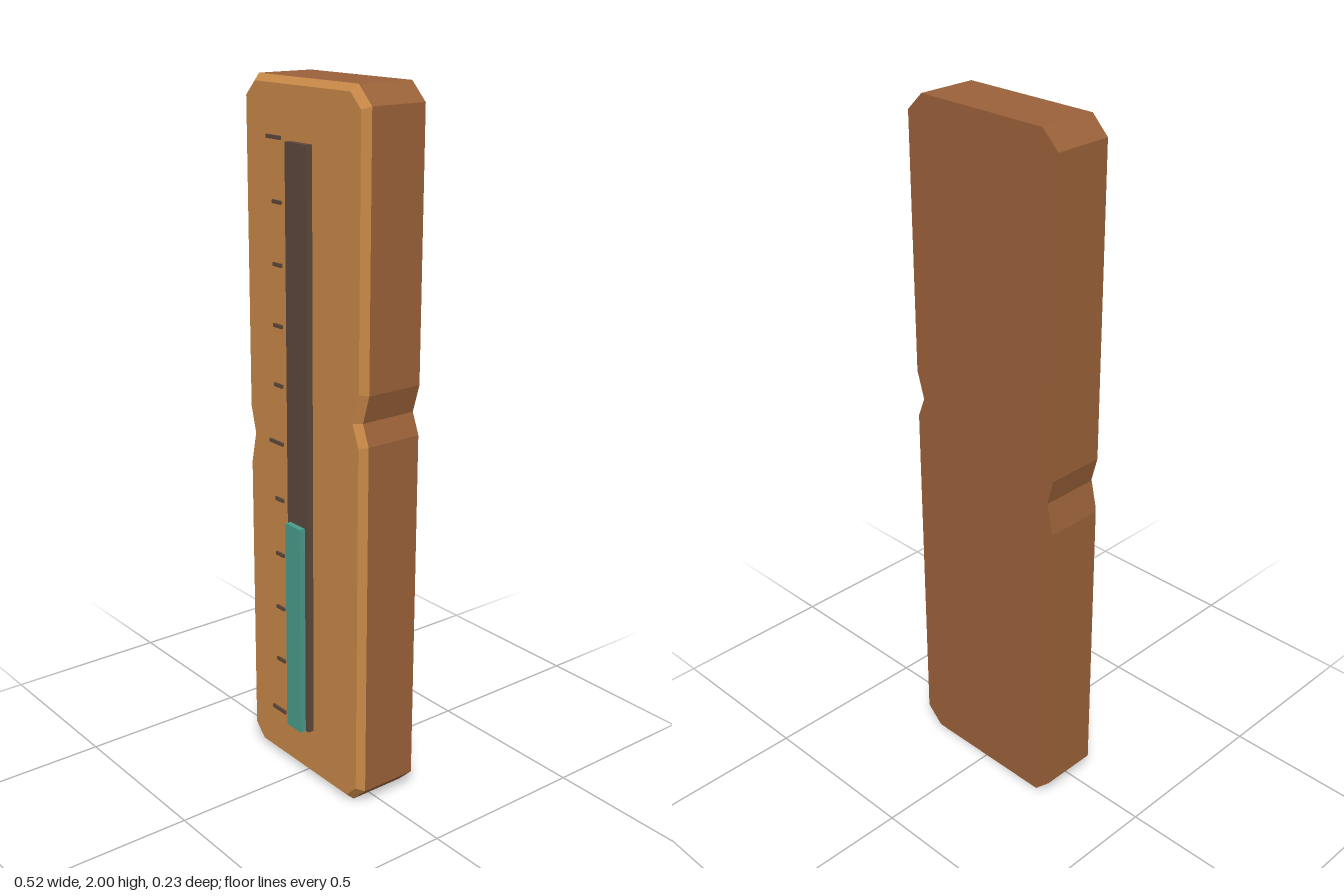
import * as THREE from 'three';

const material = (name, color) => {
  const m = new THREE.MeshStandardMaterial({ color });
  m.name = name;
  return m;
};

// Moves every edge of a counter-clockwise outline inwards by d
function inset(points, d) {
  const n = points.length;
  return points.map((p, i) => {
    const a = p.clone().sub(points[(i + n - 1) % n]).normalize();
    const b = points[(i + 1) % n].clone().sub(p).normalize();
    const na = new THREE.Vector2(-a.y, a.x);
    const nb = new THREE.Vector2(-b.y, b.x);
    const k = d / (1 + na.dot(nb));
    return p.clone().add(na.add(nb).multiplyScalar(k));
  });
}

// Flat-faced band joining two matching outlines at different depths
function band(back, zBack, front, zFront) {
  const pos = [];
  back.forEach((p, i) => {
    const j = (i + 1) % back.length;
    const q = back[j], r = front[j], s = front[i];
    pos.push(p.x, p.y, zBack, q.x, q.y, zBack, r.x, r.y, zFront);
    pos.push(p.x, p.y, zBack, r.x, r.y, zFront, s.x, s.y, zFront);
  });
  const g = new THREE.BufferGeometry();
  g.setAttribute('position', new THREE.Float32BufferAttribute(pos, 3));
  g.computeVertexNormals();
  return g;
}

export function createModel() {
  const group = new THREE.Group();
  group.name = 'gauge';
  const face = material('light wood', 0xc78847);
  const side = material('brown wood', 0x9a6139);
  const dark = material('dark brown', 0x5d473b);
  const teal = material('teal', 0x489c8b);

  const add = (name, geometry, mat, x = 0, y = 0, z = 0) => {
    const mesh = new THREE.Mesh(geometry, mat);
    mesh.name = name;
    mesh.position.set(x, y, z);
    group.add(mesh);
    return mesh;
  };
  const plate = (name, mat, x0, x1, y0, y1, z0, z1) =>
    add(name, new THREE.BoxGeometry(x1 - x0, y1 - y0, z1 - z0), mat,
      (x0 + x1) / 2, (y0 + y1) / 2, (z0 + z1) / 2);

  // Board outline with clipped corners and a nick in each long edge
  const outline = [
    [-0.21, 0], [0.206, 0], [0.258, 0.05],
    [0.258, 1.08], [0.234, 1.14], [0.258, 1.22],
    [0.258, 1.95], [0.206, 2], [-0.21, 2], [-0.26, 1.95],
    [-0.26, 1.075], [-0.24, 1.0], [-0.26, 0.91], [-0.26, 0.05],
  ].map(([x, y]) => new THREE.Vector2(x, y));
  const inner = inset(outline, 0.018);
  const zBack = -0.115, zEdge = 0.057, zFace = 0.077;

  add('boardSides', band(outline, zBack, outline, zEdge), side);
  const back = new THREE.ShapeGeometry(new THREE.Shape(
    outline.map((p) => new THREE.Vector2(-p.x, p.y)).reverse()));
  add('boardBack', back, side, 0, 0, zBack).rotation.y = Math.PI;
  add('boardBevel', band(outline, zEdge, inner, zFace), face);
  add('boardFace', new THREE.ShapeGeometry(new THREE.Shape(inner)), face, 0, 0, zFace);

  // Channel and its level bar
  plate('channel', dark, -0.047, 0.045, 0.155, 1.84, zFace, 0.096);
  plate('levelBar', teal, -0.034, 0.032, 0.155, 0.79, 0.096, 0.114);

  // Scale marks, every fifth one longer
  for (let i = 0; i <= 10; i++) {
    const y = 0.156 + i * 0.1688;
    plate('scaleMark', dark, i % 5 ? -0.124 : -0.148, -0.087,
      y - 0.005, y + 0.005, zFace, 0.083);
  }
  return group;
}
